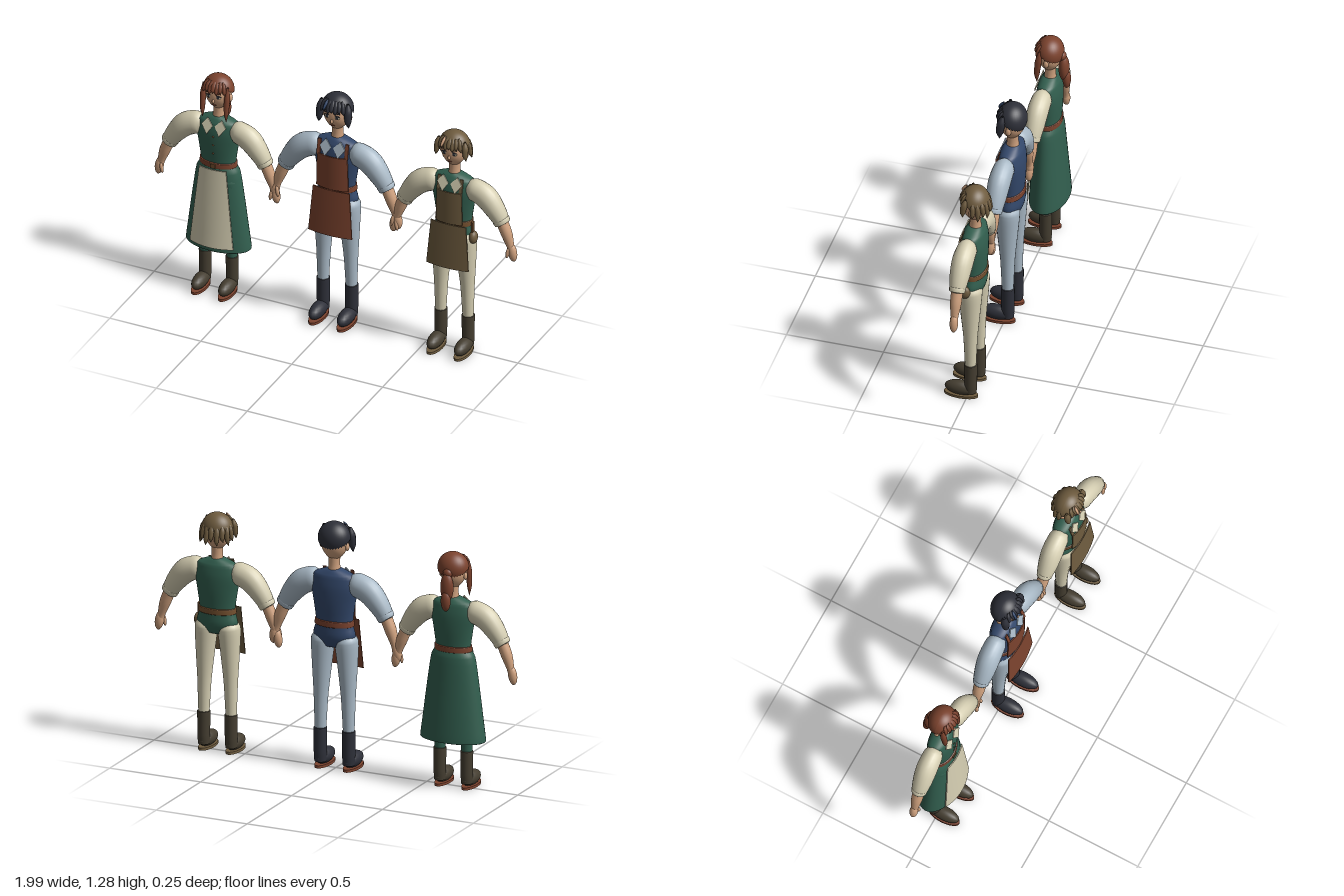
import * as THREE from 'three';

const colour = (name, hex) => {
  const m = new THREE.MeshStandardMaterial({ color: hex, side: THREE.DoubleSide });
  m.name = name;
  return m;
};

// Lofts elliptical rings through sections [x, y, z, rx, rz]; works for limbs, torsos and hair locks
function loft(sections, sides = 20) {
  const centre = new THREE.CatmullRomCurve3(sections.map(s => new THREE.Vector3(s[0], s[1], s[2])));
  const radius = new THREE.CatmullRomCurve3(sections.map(s => new THREE.Vector3(s[3], s[4] ?? s[3], 0)));
  const steps = (sections.length - 1) * 4, pos = [], idx = [];
  for (let i = 0; i <= steps; i++) {
    const c = centre.getPoint(i / steps), r = radius.getPoint(i / steps), t = centre.getTangent(i / steps);
    const len = Math.hypot(t.x, t.y) || 1;
    for (let j = 0; j < sides; j++) {
      const a = j / sides * Math.PI * 2, u = Math.cos(a) * Math.max(r.x, 0);
      pos.push(c.x + t.y / len * u, c.y - t.x / len * u, c.z + Math.sin(a) * Math.max(r.y, 0));
      if (i < steps) {
        const p = i * sides + j, q = i * sides + (j + 1) % sides;
        idx.push(p, p + sides, q, p + sides, q + sides, q);
      }
    }
  }
  const g = new THREE.BufferGeometry();
  g.setAttribute('position', new THREE.Float32BufferAttribute(pos, 3));
  g.setIndex(idx);
  g.computeVertexNormals();
  return g;
}

// Thin tapered cloth panel that bends back towards its sides
function panel(wTop, wBot, yTop, yBot, zTop, zBot, curve, x0 = 0) {
  const g = new THREE.BoxGeometry(1, 1, 0.006, 12, 6, 1), p = g.attributes.position;
  for (let i = 0; i < p.count; i++) {
    const k = p.getY(i) + 0.5, x = p.getX(i) * (wBot + (wTop - wBot) * k);
    p.setXYZ(i, x + x0, yBot + (yTop - yBot) * k, p.getZ(i) + zBot + (zTop - zBot) * k - curve * x * x);
  }
  g.computeVertexNormals();
  return g;
}

// Hair shell whose lower edge is high over the brow and low at the nape
function hairCap(nape) {
  const g = new THREE.SphereGeometry(1, 32, 16), p = g.attributes.position, uv = g.attributes.uv;
  for (let i = 0; i < p.count; i++) {
    const phi = uv.getX(i) * Math.PI * 2, front = Math.sin(phi);
    const end = front > 0 ? 1.7 - 0.5 * front : 1.7 - (nape - 1.7) * front;
    const th = (1 - uv.getY(i)) * end;
    p.setXYZ(i, -Math.cos(phi) * Math.sin(th) * 0.084, 1.202 + Math.cos(th) * 0.083,
      -0.017 + front * Math.sin(th) * 0.074);
  }
  g.computeVertexNormals();
  return g;
}

function headShape() {
  const g = new THREE.SphereGeometry(1, 28, 20), p = g.attributes.position;
  for (let i = 0; i < p.count; i++) {
    const y = p.getY(i), t = Math.max(0, -y), k = 1 - 0.25 * t * t;
    p.setXYZ(i, p.getX(i) * 0.07 * k, 1.18 + y * 0.095, -0.015 + p.getZ(i) * 0.066 * k);
  }
  g.computeVertexNormals();
  return g;
}

function person(name, x, scale, c, o) {
  const fig = new THREE.Group();
  fig.name = name;
  fig.position.x = x;
  fig.scale.setScalar(scale);
  const add = (part, geo, mat) => {
    const m = new THREE.Mesh(geo, mat);
    m.name = part;
    fig.add(m);
    return m;
  };
  const ball = (part, mat, px, py, pz, rx, ry, rz, rot = 0) => {
    const m = add(part, new THREE.SphereGeometry(1, 18, 12), mat);
    m.position.set(px, py, pz);
    m.scale.set(rx, ry, rz);
    m.rotation.z = rot;
    return m;
  };
  const lock = (part, mat, x0, y0, z0, x1, y1, z1, w, d) => add(part, loft([
    [x0, y0, z0, w * 0.3, d * 0.3], [x0 + (x1 - x0) * 0.35, y0 + (y1 - y0) * 0.35, z0 + (z1 - z0) * 0.5, w, d],
    [x0 + (x1 - x0) * 0.7, y0 + (y1 - y0) * 0.75, z1, w * 0.75, d * 0.8], [x1, y1, z1, 0.001]], 10), mat);

  // Torso, neck and belt
  add('torso', loft([[0, 0.63, -0.015, 0.005], [0, 0.645, -0.015, 0.075, 0.045], [0, 0.7, -0.015, 0.113, 0.062],
    [0, 0.765, -0.015, 0.098, 0.06], [0, 0.87, -0.015, 0.111, 0.066], [0, 0.95, -0.015, 0.125, 0.065],
    [0, 1.01, -0.015, 0.115, 0.055], [0, 1.035, -0.015, 0.06, 0.04], [0, 1.045, -0.015, 0.03]], 32), o.top);
  add('neck', loft([[0, 1.02, -0.018, 0.034], [0, 1.07, -0.018, 0.029], [0, 1.13, -0.018, 0.031]]), c.skin);
  add('belt', loft([[0, 0.748, -0.015, 0.095, 0.06], [0, 0.752, -0.015, 0.105, 0.067],
    [0, 0.778, -0.015, 0.104, 0.067], [0, 0.782, -0.015, 0.095, 0.06]], 32), o.belt);

  for (const s of [-1, 1]) {
    // Collar wing
    const kite = new THREE.Shape([[0.006, 0.05], [0.035, 0], [0.07, 0.05], [0.04, 0.09]]
      .map(p => new THREE.Vector2(p[0] * s, p[1])));
    const collar = add('collar', new THREE.ExtrudeGeometry(kite, { depth: 0.006, bevelEnabled: false }), o.shirt);
    collar.position.set(0, 0.952, 0.054);
    collar.rotation.x = -0.3;

    // Sleeve, cuff, forearm and hand
    add('sleeve', loft([[0.075 * s, 0.975, -0.008, 0.03], [0.115 * s, 0.97, -0.008, 0.062, 0.052],
      [0.18 * s, 0.945, -0.006, 0.064, 0.056], [0.235 * s, 0.886, -0.004, 0.055, 0.052],
      [0.278 * s, 0.818, -0.003, 0.04, 0.038], [0.279 * s, 0.815, -0.003, 0.02]]), o.shirt);
    add('cuff', loft([[0.268 * s, 0.835, -0.003, 0.036], [0.27 * s, 0.832, -0.003, 0.047, 0.043],
      [0.28 * s, 0.813, -0.003, 0.044, 0.04], [0.282 * s, 0.81, -0.003, 0.03]]), o.shirt);
    add('forearm', loft([[0.275 * s, 0.825, -0.003, 0.031], [0.302 * s, 0.76, -0.003, 0.03],
      [0.324 * s, 0.69, -0.003, 0.02], [0.328 * s, 0.67, -0.003, 0.018]]), c.skin);
    ball('hand', c.skin, 0.337 * s, 0.652, -0.003, 0.024, 0.052, 0.022, 0.15 * s);
    ball('thumb', c.skin, 0.316 * s, 0.65, 0.014, 0.01, 0.03, 0.01, -0.15 * s);

    // Leg and boot
    add('leg', loft([[0.062 * s, 0.7, -0.012, 0.045], [0.065 * s, 0.665, -0.012, 0.06, 0.061],
      [0.07 * s, 0.55, -0.012, 0.051, 0.053], [0.075 * s, 0.38, -0.014, 0.037, 0.037],
      [0.078 * s, 0.18, -0.015, 0.028]]), o.legs);
    add('bootShaft', loft([[0.078 * s, 0.03, -0.016, 0.03], [0.078 * s, 0.08, -0.016, 0.033],
      [0.078 * s, 0.205, -0.016, 0.034], [0.078 * s, 0.208, -0.016, 0.026]]), o.boots);
    ball('bootFoot', o.boots, 0.078 * s, 0.046, 0.037, 0.037, 0.04, 0.086);
    const sole = add('sole', new THREE.CylinderGeometry(1, 1, 0.014, 28), o.sole);
    sole.position.set(0.078 * s, 0.007, 0.036);
    sole.scale.set(0.037, 1, 0.09);

    // Eye, brow and ear
    ball('eyeWhite', c.cream, 0.028 * s, 1.181, 0.045, 0.015, 0.009, 0.005);
    ball('iris', c.charcoal, 0.027 * s, 1.181, 0.049, 0.007, 0.008, 0.003);
    ball('lash', c.charcoal, 0.029 * s, 1.19, 0.047, 0.017, 0.003, 0.004, -0.1 * s);
    ball('brow', o.hair, 0.029 * s, 1.205, 0.046, 0.016, 0.003, 0.004, -0.1 * s);
    ball('ear', c.skin, 0.07 * s, 1.162, -0.015, 0.01, 0.022, 0.014);
  }

  // Head and face
  add('head', headShape(), c.skin);
  ball('nose', c.skin, 0, 1.156, 0.049, 0.007, 0.012, 0.01);
  ball('mouth', c.auburn, 0, 1.13, 0.039, 0.013, 0.003, 0.004);

  // Hair shell and fringe
  add('hair', hairCap(o.nape), o.hair);
  for (let i = -3; i <= 3; i++) {
    const fx = i * 0.02;
    lock('fringe', o.hair, fx * 0.7, 1.265, 0.03 - fx * fx * 3, fx * 1.08, i % 2 ? 1.197 : 1.207,
      0.056 - fx * fx * 5, 0.014, 0.01);
  }
  if (o.streak) lock('hairStreak', o.streak, -0.026, 1.272, 0.034, -0.042, 1.215, 0.061, 0.008, 0.008);
  return { fig, add, ball, lock };
}

// Bib apron with shoulder straps
function bibApron({ add }, mat, half) {
  add('apronBib', panel(half * 1.88, half * 2, 0.957, 0.77, 0.06, 0.06, 2.5), mat);
  add('apronSkirt', panel(0.2, 0.24, 0.768, 0.515, 0.064, 0.08, 1), mat);
  for (const s of [-1, 1]) {
    add('apronStrap', panel(0.018, 0.018, 1.03, 0.95, 0.028, 0.046, 0, s * (half - 0.012)), mat);
  }
}

export function createModel() {
  const c = {
    skin: colour('skin', 0xcfa17e), auburn: colour('auburn', 0x7c432e), charcoal: colour('charcoal', 0x2e3039),
    olive: colour('olive brown', 0x6f5c3f), green: colour('green cloth', 0x325f4f), navy: colour('navy cloth', 0x33486b),
    pale: colour('pale blue cloth', 0xa9b9c6), cream: colour('cream cloth', 0xd5ceb2),
    boots: colour('dark leather', 0x453e31), leather: colour('tan leather', 0x74502f),
  };
  const model = new THREE.Group();
  model.name = 'threeVillagers';

  // Woman with long skirt and ponytail
  const a = person('womanInSkirt', -0.653, 0.95, c, { top: c.green, shirt: c.cream, legs: c.green, boots: c.boots,
    sole: c.auburn, belt: c.auburn, hair: c.auburn, nape: 2.1 });
  a.add('skirt', loft([[0, 0.765, -0.015, 0.095, 0.06], [0, 0.72, -0.015, 0.122, 0.073], [0, 0.55, -0.016, 0.148, 0.085],
    [0, 0.38, -0.017, 0.17, 0.097], [0, 0.27, -0.018, 0.184, 0.103], [0, 0.264, -0.018, 0.178, 0.098],
    [0, 0.272, -0.018, 0.02]], 40), c.green);
  a.add('skirtApron', panel(0.155, 0.25, 0.75, 0.295, 0.066, 0.098, 1.9), c.cream);
  a.add('buckle', new THREE.BoxGeometry(0.03, 0.026, 0.008), c.leather).position.set(0, 0.765, 0.053);
  [0.84, 0.89, 0.94].forEach(y => a.ball('button', c.leather, 0, y, 0.051, 0.005, 0.005, 0.004));
  for (const s of [-1, 1]) {
    a.lock('longSideLock', c.auburn, 0.07 * s, 1.24, 0.02, 0.068 * s, 1.04, 0.035, 0.016, 0.018);
  }
  a.ball('hairTie', c.auburn, 0, 1.185, -0.085, 0.026, 0.026, 0.02);
  a.ball('ponytail', c.auburn, 0, 1.11, -0.092, 0.036, 0.08, 0.028);
  a.ball('ponytailEnd', c.auburn, 0, 1.04, -0.107, 0.027, 0.056, 0.022);

  // Person in blue with a leather apron and short bob
  const b = person('personInBlue', 0, 1, c, { top: c.navy, shirt: c.pale, legs: c.pale, boots: c.charcoal,
    sole: c.auburn, belt: c.auburn, hair: c.charcoal, nape: 2.2, streak: c.navy });
  bibApron(b, c.auburn, 0.088);
  for (const s of [-1, 1]) {
    b.lock('sideLock', c.charcoal, 0.072 * s, 1.255, 0.015, 0.082 * s, 1.125, 0.026, 0.021, 0.022);
  }

  // Person in green with a short apron, pouch and shaggy hair
  const d = person('personInGreen', 0.644, 0.965, c, { top: c.green, shirt: c.cream, legs: c.cream, boots: c.boots,
    sole: c.olive, belt: c.leather, hair: c.olive, nape: 1.95, streak: c.skin });
  bibApron(d, c.olive, 0.075);
  d.ball('pouch', c.olive, 0.118, 0.69, 0.005, 0.022, 0.036, 0.03);
  d.add('pouchStrap', new THREE.BoxGeometry(0.012, 0.07, 0.02), c.leather).position.set(0.114, 0.745, 0.005);
  for (const s of [-1, 1]) {
    d.lock('sideLock', c.olive, 0.074 * s, 1.25, 0.015, 0.086 * s, 1.145, 0.026, 0.017, 0.018);
  }
  for (let i = 0; i < 9; i++) {
    const t = Math.PI * (0.04 + 0.92 * i / 8), x = Math.cos(t), z = -Math.sin(t);
    d.lock('shaggyLock', c.olive, x * 0.07, 1.235, -0.017 + z * 0.06, x * 0.092, i % 2 ? 1.125 : 1.145,
      -0.017 + z * 0.078, 0.016, 0.014);
  }

  model.add(a.fig, b.fig, d.fig);
  return model;
}
